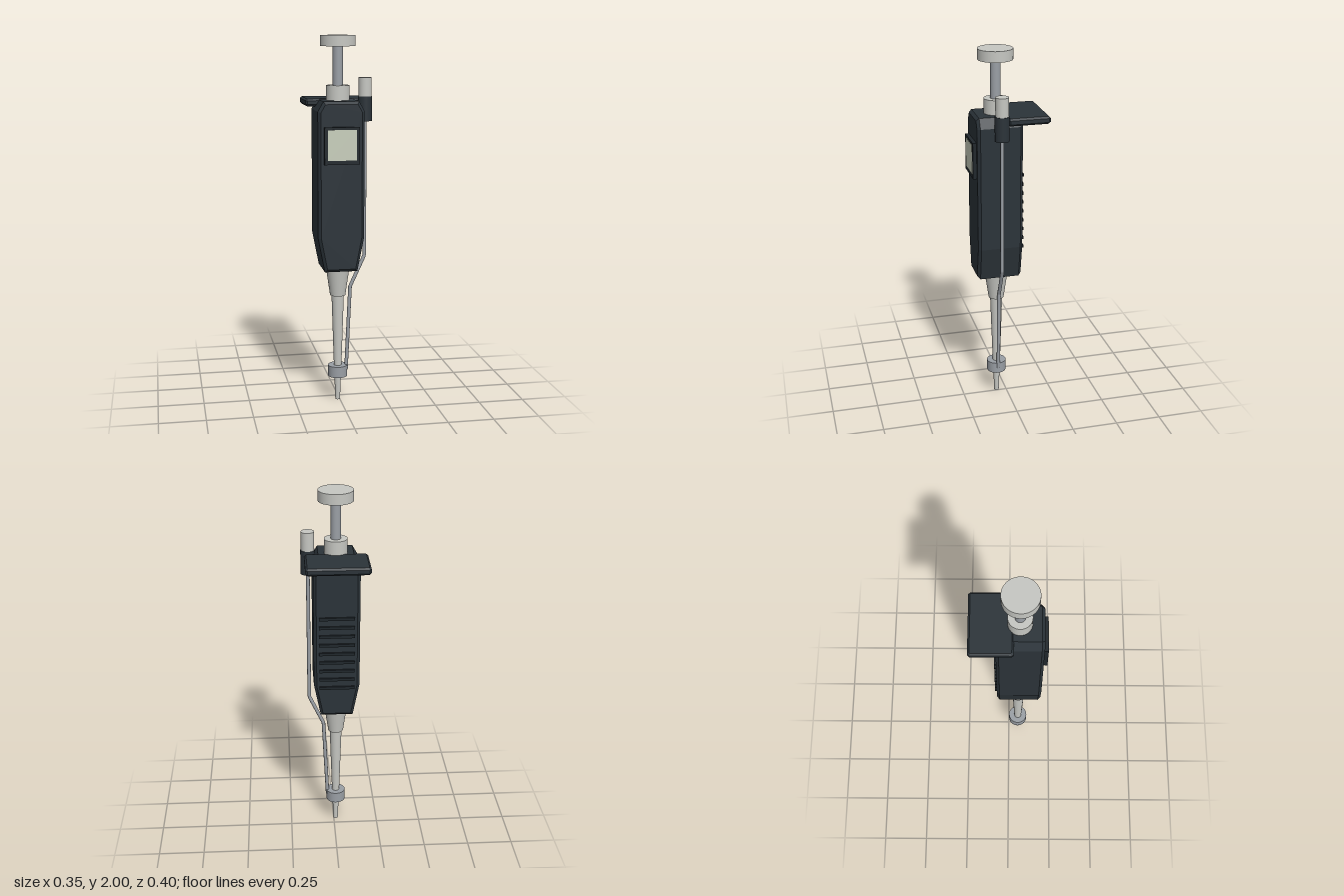
import * as THREE from 'three';

const AX = -0.011, AZ = 0.055; // main axis of the instrument
const mat = (color) => new THREE.MeshStandardMaterial({ color });

export function createModel() {
  const model = new THREE.Group();
  const dark = mat(0x2b3339), darker = mat(0x20272c), pale = mat(0xc6c7c2);
  const metal = mat(0x9a9fa5), glass = mat(0xc9cfbd);

  const add = (name, geometry, material, x = 0, y = 0, z = 0) => {
    const mesh = new THREE.Mesh(geometry, material);
    mesh.name = name;
    mesh.position.set(x, y, z);
    model.add(mesh);
    return mesh;
  };
  // Upright cylinder or cone between two heights
  const post = (name, rTop, rBottom, y0, y1, material, x = AX) =>
    add(name, new THREE.CylinderGeometry(rTop, rBottom, y1 - y0, 32), material, x, (y0 + y1) / 2, AZ);
  // Chamfered slab from an outline, bevel kept inside the outline
  const slab = (points, depth, bevel) =>
    new THREE.ExtrudeGeometry(new THREE.Shape(points.map(([x, y]) => new THREE.Vector2(x, y))), {
      depth: depth - 2 * bevel, bevelEnabled: true, bevelSize: bevel,
      bevelThickness: bevel, bevelOffset: -bevel, bevelSegments: 1,
    }).translate(0, 0, bevel);

  // Handle body: tapered below, clipped corners above
  const half = [[0.088, 0.755], [0.124, 0.94], [0.124, 1.61], [0.094, 1.662]];
  const outline = [...half, ...half.map(([x, y]) => [-x, y]).reverse()];
  add('handleBody', slab(outline, 0.243, 0.015), dark, AX, 0, -0.065);

  // Finger rest projecting to the back
  const w = 0.167, d = 0.1125, c = 0.01;
  const plate = [[w - c, -d], [w, c - d], [w, d - c], [w - c, d], [c - w, d], [-w, d - c], [-w, c - d], [c - w, -d]];
  add('fingerRest', slab(plate, 0.04, 0.01).rotateX(-Math.PI / 2), dark, AX, 1.627, -0.0875);

  // Display
  add('displayBezel', new THREE.BoxGeometry(0.187, 0.195, 0.03), darker, AX, 1.433, 0.183);
  add('displayScreen', new THREE.BoxGeometry(0.153, 0.16, 0.004), glass, AX, 1.437, 0.198);

  // Grip ridges on the back
  for (let i = 0; i < 9; i++) {
    add('gripRidge', new THREE.BoxGeometry(0.19, 0.016, 0.02), darker, AX, 0.93 + i * 0.0508, -0.065);
  }

  // Plunger
  post('plungerCollar', 0.062, 0.062, 1.65, 1.74, pale);
  post('plungerRod', 0.027, 0.027, 1.73, 1.95, metal);
  post('plungerCap', 0.093, 0.093, 1.943, 2, pale);

  // Nose cone, shaft and tip
  post('noseCone', 0.066, 0.042, 0.6, 0.765, pale);
  post('shaft', 0.034, 0.02, 0.17, 0.61, pale);
  post('tip', 0.02, 0.013, 0, 0.18, pale);
  post('ejectorRing', 0.053, 0.053, 0.138, 0.2, metal);

  // Tip ejector on the left side
  post('ejectorHousing', 0.038, 0.038, 1.55, 1.68, dark, 0.136);
  post('ejectorButton', 0.035, 0.035, 1.67, 1.78, pale, 0.136);
  const path = new THREE.CurvePath();
  const bends = [[0.136, 1.56], [0.136, 0.815], [0.058, 0.645], [0.036, 0.17]]
    .map(([x, y]) => new THREE.Vector3(x, y, AZ));
  bends.slice(1).forEach((p, i) => path.add(new THREE.LineCurve3(bends[i], p)));
  add('ejectorRod', new THREE.TubeGeometry(path, 160, 0.01, 12), metal);

  return model;
}
